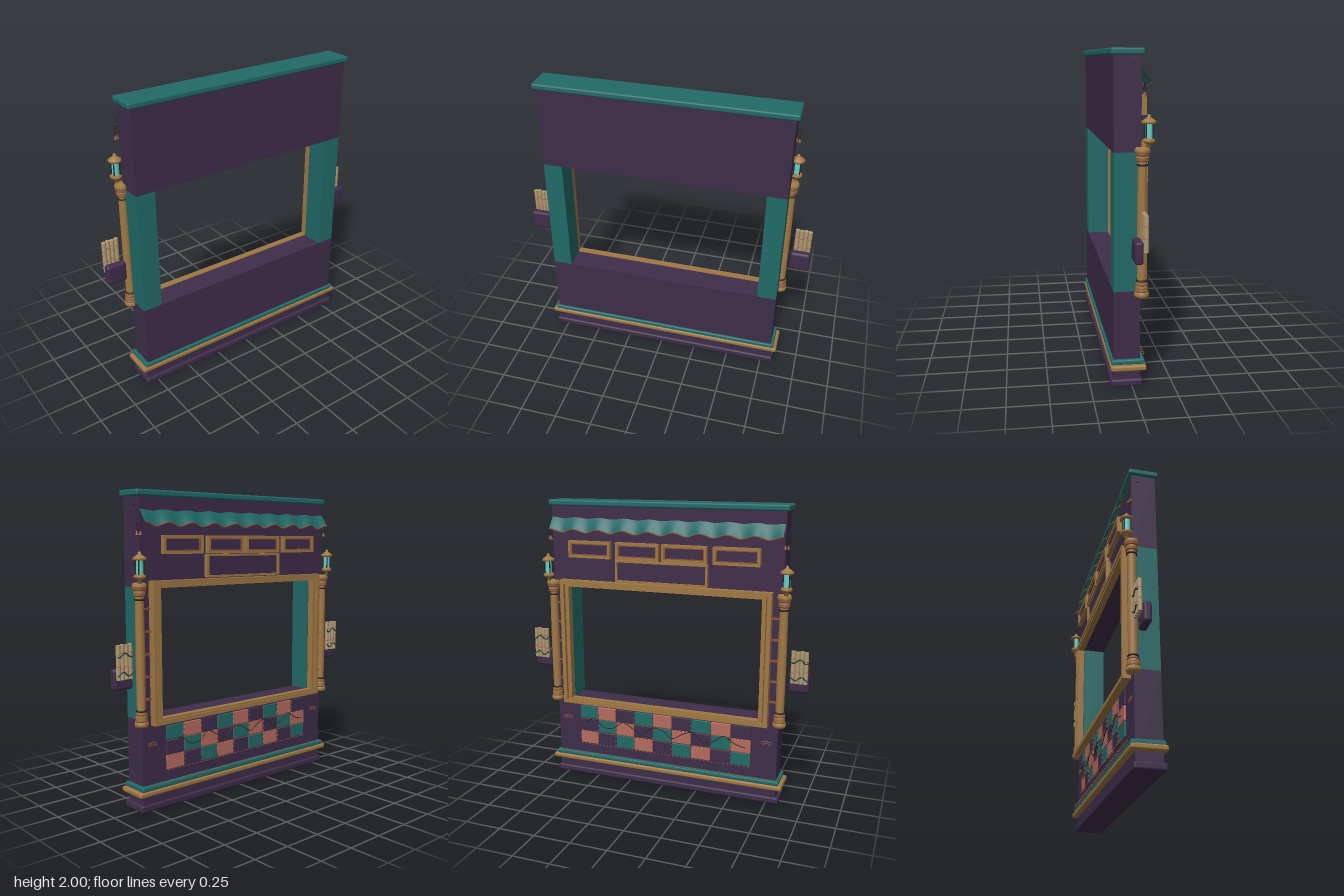
import * as THREE from 'three';
import { RoundedBoxGeometry } from 'three/addons/geometries/RoundedBoxGeometry.js';

const mat = (name, color, side = THREE.FrontSide) => {
  const m = new THREE.MeshStandardMaterial({ color, side });
  m.name = name;
  return m;
};

export function createModel() {
  const purple = mat('plum wood', 0x3f2d4a);
  const teal = mat('teal paint', 0x216a68);
  const cloth = mat('teal cloth', 0x216a68, THREE.DoubleSide);
  const gold = mat('golden wood', 0xa07843);
  const copper = mat('copper trim', 0x8a5238);
  const salmon = mat('salmon cloth', 0xb56a5f);
  const beige = mat('pale bamboo', 0xb09a72);
  const dark = mat('dark iron', 0x2b2428);
  const glass = mat('lantern glass', 0x62d2c4);
  const vineGreen = mat('dark green cord', 0x1c4a48);

  const root = new THREE.Group();
  root.name = 'stallFront';
  const add = (name, geo, material, x = 0, y = 0, z = 0, parent = root) => {
    const m = new THREE.Mesh(geo, material);
    m.name = name;
    m.position.set(x, y, z);
    parent.add(m);
    return m;
  };
  // Box given by its limits; r > 0 rounds the edges
  const block = (name, material, x0, x1, y0, y1, z0, z1, r = 0, parent = root) => {
    const s = [x1 - x0, y1 - y0, z1 - z0];
    const geo = r ? new RoundedBoxGeometry(...s, 2, r) : new THREE.BoxGeometry(...s);
    return add(name, geo, material, (x0 + x1) / 2, (y0 + y1) / 2, (z0 + z1) / 2, parent);
  };
  const tube = (name, material, pts, r, parent = root, seg = 16) =>
    add(name, new THREE.TubeGeometry(
      new THREE.CatmullRomCurve3(pts.map(p => new THREE.Vector3(...p))), seg, r, 6), material, 0, 0, 0, parent);
  const lathe = (name, material, pts, x, y, z, parent) =>
    add(name, new THREE.LatheGeometry(pts.map(p => new THREE.Vector2(...p)), 20), material, x, y, z, parent);
  // Rectangular picture frame, back at z = 0, extruded towards +z by depth
  const frameGeo = (w, h, border, depth) => {
    const rect = (P, a, b) => new P([[-a, -b], [a, -b], [a, b], [-a, b]].map(p => new THREE.Vector2(...p)));
    const s = rect(THREE.Shape, w / 2, h / 2);
    s.holes.push(rect(THREE.Path, w / 2 - border, h / 2 - border));
    return new THREE.ExtrudeGeometry(s, { depth, bevelEnabled: false });
  };

  // Walls, plinth and cornice
  block('lowerWall', purple, -0.815, 0.815, 0.03, 0.59, -0.05, 0.11);
  block('upperWall', purple, -0.815, 0.815, 1.415, 1.97, -0.05, 0.11);
  block('plinth', purple, -0.835, 0.835, 0, 0.045, -0.065, 0.128, 0.012);
  block('goldMoulding', gold, -0.858, 0.858, 0.105, 0.14, -0.085, 0.13, 0.012);
  block('tealMoulding', teal, -0.835, 0.835, 0.138, 0.17, -0.078, 0.125, 0.01);
  block('cornice', teal, -0.835, 0.835, 1.96, 2, -0.065, 0.128, 0.012);

  // Stepped frame around the opening
  add('frameOuter', frameGeo(1.5, 0.9, 0.028, 0.05), gold, 0, 1.005, -0.1);
  add('frameGroove', frameGeo(1.45, 0.85, 0.012, 0.03), copper, 0, 1.005, -0.08);
  add('frameInner', frameGeo(1.426, 0.866, 0.026, 0.045), gold, 0, 1.003, -0.092);

  // Row of plaques above the opening and the sign panel below them
  for (const x of [-0.515, -0.165, 0.165, 0.515]) {
    add('plaqueFrame', frameGeo(0.31, 0.115, 0.018, 0.032), gold, x, 1.673, -0.106);
    add('plaqueLip', frameGeo(0.276, 0.081, 0.008, 0.022), copper, x, 1.673, -0.098);
    block('plaquePanel', purple, x - 0.14, x + 0.14, 1.63, 1.716, -0.09, -0.077);
  }
  add('signFrame', frameGeo(0.65, 0.15, 0.014, 0.03), gold, 0, 1.537, -0.1);
  block('signPanel', purple, -0.315, 0.315, 1.47, 1.605, -0.085, -0.05);

  // Patchwork of cloth squares with stitches along the seams
  const quilt = new THREE.Group();
  quilt.name = 'patchwork';
  root.add(quilt);
  const cw = 0.142, ch = 0.097, colours = [teal, salmon, purple];
  const stitch = new THREE.BoxGeometry(0.013, 0.005, 0.005);
  const stitchUp = new THREE.BoxGeometry(0.005, 0.013, 0.005);
  for (let c = 0; c < 9; c++) for (let r = 0; r < 3; r++) {
    const x = 0.64 - cw * c, y = 0.535 - ch * r;
    block('patch', colours[(c - r + 3) % 3], x - cw + 0.002, x - 0.002, y - ch + 0.002, y - 0.002,
      -0.062 - 0.003 * ((c + r) % 2), -0.05, 0.004, quilt);
    for (let k = 0; k < 5; k++) add('stitch', stitch, copper, x - cw * (k + 0.5) / 5, y - ch, -0.067, quilt);
    if (c) for (let k = 0; k < 3; k++) add('stitch', stitchUp, copper, x, y - ch * (k + 0.5) / 3, -0.067, quilt);
  }
  // Loose cord draped over the patchwork
  tube('drapedCord', dark, Array.from({ length: 17 }, (_, i) =>
    [0.6 - i * 0.075, 0.41 + 0.035 * Math.sin(i * 1.9), -0.069]), 0.003, quilt, 80);
  // Beads on top of the moulding
  const bead = new THREE.SphereGeometry(0.006, 8, 6);
  for (let i = 0; i < 46; i++) add('bead', bead, copper, -0.765 + i * 0.034, 0.175, -0.08);

  // Scalloped awning: rippled sheet with a trimmed hem
  const waves = 9, half = 0.81;
  const hem = (u, v) => {
    const w = Math.cos(u * waves * Math.PI * 2);
    return [(u * 2 - 1) * half, 1.88 - 0.085 * v + 0.012 * w * (0.35 + 0.65 * v), -0.053 - 0.048 * v - 0.009 * w * v];
  };
  const sheet = new THREE.PlaneGeometry(1, 1, 108, 4);
  const p = sheet.attributes.position;
  for (let i = 0; i < p.count; i++) p.setXYZ(i, ...hem(p.getX(i) + 0.5, 0.5 - p.getY(i)));
  sheet.computeVertexNormals();
  add('awning', sheet, cloth);
  tube('awningHem', copper, Array.from({ length: 73 }, (_, i) => hem(i / 72, 1)), 0.005, root, 144);

  // Parts that repeat on both ends
  for (const s of [-1, 1]) {
    const side = new THREE.Group();
    side.name = s > 0 ? 'leftEnd' : 'rightEnd';
    root.add(side);
    const span = (name, m, a, b, ...rest) => block(name, m, Math.min(s * a, s * b), Math.max(s * a, s * b), ...rest, side);

    span('jamb', teal, 0.685, 0.815, 0.59, 1.415, -0.045, 0.11, 0);
    span('jambBackPlate', purple, 0.688, 0.813, 0.59, 1.415, -0.05, -0.0445, 0);

    // Turned column with copper rings
    const cx = s * 0.822, cz = -0.055;
    lathe('column', gold, [[0, 0.56], [0.04, 0.56], [0.046, 0.575], [0.04, 0.592], [0.032, 0.6], [0.038, 0.615], [0.036, 0.632],
      [0.028, 0.65], [0.03, 1.0], [0.027, 1.36], [0.036, 1.378], [0.038, 1.392], [0.032, 1.402], [0.044, 1.412],
      [0.046, 1.43], [0.038, 1.445], [0, 1.447]], cx, 0, cz, side);
    for (const [y, r, m] of [[0.598, 0.035, copper], [0.638, 0.033, copper], [0.66, 0.029, dark],
      [1.345, 0.028, dark], [1.37, 0.032, copper], [1.404, 0.036, copper]])
      add('columnRing', new THREE.TorusGeometry(r, 0.006, 8, 24), m, cx, y, cz, side).rotation.x = Math.PI / 2;
    // Ties holding the column to the frame
    for (const y of [0.72, 0.86, 1.0, 1.14, 1.28]) span('columnTie', copper, 0.75, 0.8, y, y + 0.012, -0.066, -0.05, 0);

    // Lantern on the column
    const lx = s * 0.838, lz = -0.088;
    lathe('lanternBase', gold, [[0, 1.44], [0.014, 1.445], [0.012, 1.465], [0.034, 1.474], [0.038, 1.486], [0.028, 1.498], [0, 1.5]], lx, 0, lz, side);
    add('lanternGlass', new THREE.CylinderGeometry(0.022, 0.022, 0.09, 16), glass, lx, 1.54, lz, side);
    lathe('lanternRoof', gold, [[0, 1.578], [0.038, 1.58], [0.044, 1.588], [0.04, 1.596], [0.018, 1.612], [0.009, 1.618], [0.01, 1.628], [0, 1.635]], lx, 0, lz, side);
    for (let k = 0; k < 4; k++) {
      const a = Math.PI / 4 + k * Math.PI / 2;
      add('lanternPost', new THREE.CylinderGeometry(0.004, 0.004, 0.09, 6), dark, lx + 0.028 * Math.cos(a), 1.54, lz + 0.028 * Math.sin(a), side);
    }

    // Hanging tassels beside the awning
    for (const [dx, dz] of [[0.004, -0.07], [0.022, -0.06]]) {
      const x = s * (0.812 + dx);
      tube('tasselCord', dark, [[s * 0.81, 1.835, -0.055], [x + s * 0.004, 1.81, dz], [x - s * 0.003, 1.78, dz], [x, 1.755, dz]], 0.0025, side);
      add('tassel', new THREE.ConeGeometry(0.011, 0.03, 10), copper, x, 1.745, dz, side);
    }
    span('nail', dark, 0.81, 0.822, 1.905, 1.915, -0.012, -0.002, 0);

    // Holder with bundled bamboo
    span('bambooHolder', purple, 0.865, 1, 0.8, 0.935, -0.038, 0.014, 0.018);
    for (let k = 0; k < 4; k++) {
      const x = s * (0.895 + k * 0.028), h = 0.215 - 0.004 * (k % 2);
      add('bambooStick', new THREE.CylinderGeometry(0.0145, 0.0145, h, 10), beige, x, 0.87 + h / 2, -0.053, side);
      for (const y of [0.94 + 0.012 * (k % 2), 1.035 - 0.015 * (k % 2)])
        add('bambooKnot', new THREE.CylinderGeometry(0.0155, 0.0155, 0.006, 10), salmon, x, y, -0.053, side);
    }
    for (const y of [0.905, 1.02])
      tube('bundleCord', vineGreen, Array.from({ length: 7 }, (_, i) =>
        [s * (0.875 + i * 0.02), y + 0.014 * Math.sin(i * 1.5 + y * 9), -0.07 + 0.002 * (i % 2)]), 0.0045, side, 32);

    // Small metal ornament on the lower wall
    for (let k = 0; k < 3; k++)
      add('wallOrnament', new THREE.TorusGeometry(0.011, 0.003, 6, 14), copper, s * (0.72 + k * 0.022), 0.43 + 0.006 * (k % 2), -0.053, side);
  }
  return root;
}
